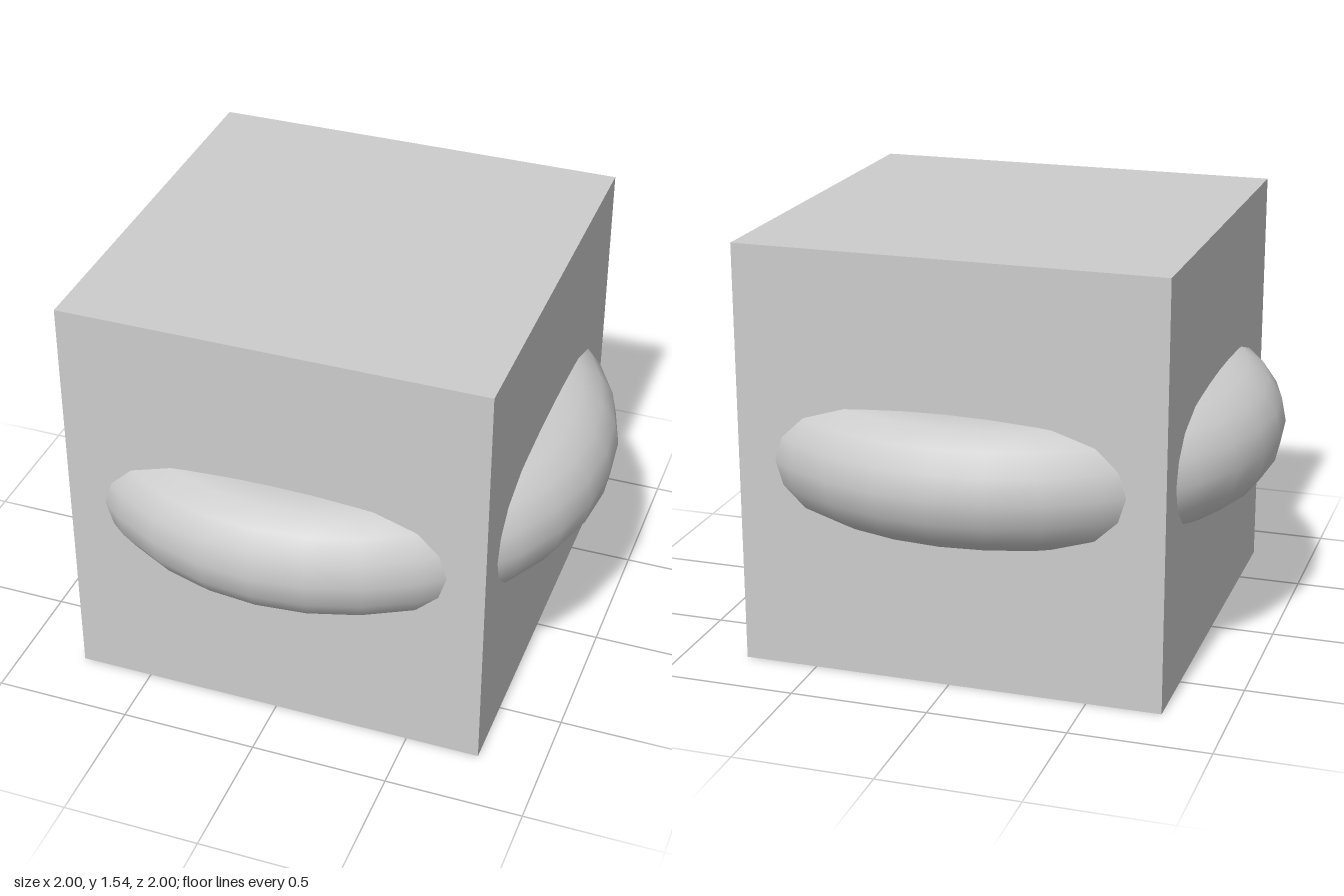
import * as THREE from 'three';

const R = 0.769; // ring radius, also half the cube's side
const TUBE = 0.231;

export function createModel() {
  const group = new THREE.Group();
  const lightGrey = new THREE.MeshStandardMaterial({ color: 0xcccccc });
  lightGrey.name = 'lightGrey';

  const add = (name, geometry) => {
    const mesh = new THREE.Mesh(geometry, lightGrey);
    mesh.name = name;
    mesh.position.y = R;
    group.add(mesh);
  };

  // Cube standing on the ground
  add('cube', new THREE.BoxGeometry(2 * R, 2 * R, 2 * R));

  // Horizontal ring bulging out through the four sides
  add('ring', new THREE.TorusGeometry(R, TUBE, 16, 32).rotateX(-Math.PI / 2));

  return group;
}
